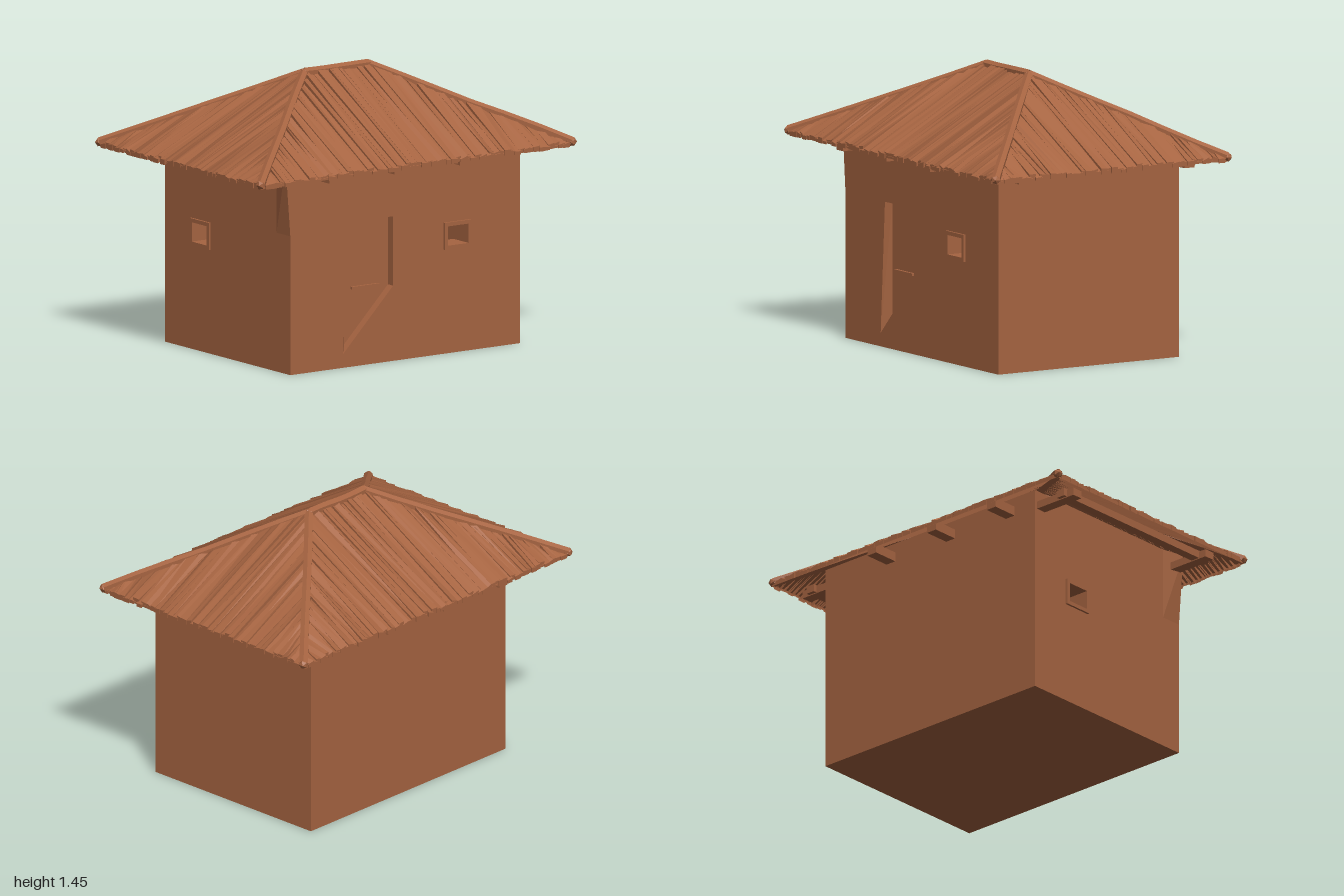
import * as THREE from 'three';

const clay = new THREE.MeshStandardMaterial({ color: 0xa66441, flatShading: true, side: THREE.DoubleSide });
clay.name = 'clay brown';

// Roof dimensions: eave half sizes, ridge half length, eave and ridge heights
const EX = 0.98, EZ = 0.705, RX = 0.2, Y0 = 1.035, Y1 = 1.425;

let seed = 7;
const rand = (a = 0, b = 1) => {
  seed = (seed * 16807) % 2147483647;
  return a + (b - a) * seed / 2147483647;
};

function add(parent, name, geometry, x = 0, y = 0, z = 0) {
  const mesh = new THREE.Mesh(geometry, clay);
  mesh.name = name;
  mesh.position.set(x, y, z);
  parent.add(mesh);
  return mesh;
}

function box(parent, name, x0, x1, y0, y1, z0, z1) {
  return add(parent, name, new THREE.BoxGeometry(x1 - x0, y1 - y0, z1 - z0),
    (x0 + x1) / 2, (y0 + y1) / 2, (z0 + z1) / 2);
}

const outline = pts => pts.map(p => new THREE.Vector2(...p));
const rect = (x0, x1, y0, y1) => [[x0, y0], [x1, y0], [x1, y1], [x0, y1]];

function slab(pts, holes, depth) {
  const shape = new THREE.Shape(outline(pts));
  for (const h of holes) shape.holes.push(new THREE.Path(outline(h)));
  return new THREE.ExtrudeGeometry(shape, { depth, bevelEnabled: false });
}

function quads(list) {
  const pos = [];
  for (const [a, b, c, d] of list) for (const p of [a, b, c, a, c, d]) pos.push(...p);
  const g = new THREE.BufferGeometry();
  g.setAttribute('position', new THREE.Float32BufferAttribute(pos, 3));
  g.computeVertexNormals();
  return g;
}

// One slope of the roof: a base sheet covered with uneven thatch strips
function roofSlope(parent, name, isSide, sign, count) {
  const half = isSide ? EZ : EX;
  const at = (u, t, lift) => {
    const y = Y0 + (Y1 - Y0) * t + lift;
    return isSide ? [sign * (EX - (EX - RX) * t), y, u] : [u, y, sign * EZ * (1 - t)];
  };
  const limit = u => isSide ? 1 - Math.abs(u) / EZ : Math.min(1, (EX - Math.abs(u)) / (EX - RX));
  const top = isSide ? 0 : RX;
  const faces = [[at(-half, 0, 0), at(half, 0, 0), at(top, 1, 0), at(-top, 1, 0)]];
  const step = 2 * half / count;
  for (let i = 0; i < count; i++) {
    const b0 = -half + i * step, b1 = b0 + step;
    const u0 = Math.max(-half, b0 - rand(0, 0.008)), u1 = Math.min(half, b1 + rand(0, 0.008));
    // The upper ends drift sideways so the strips look irregular
    const v0 = THREE.MathUtils.clamp(b0 + rand(-0.012, 0.012), -half, half);
    const v1 = THREE.MathUtils.clamp(b1 + rand(-0.012, 0.012), -half, half);
    const e = rand(-0.012, 0.004);
    const l = [0, 1, 2, 3].map(() => rand(0.002, 0.02));
    const A = at(u0, e, l[0]), B = at(u1, e, l[1]);
    const C = at(v1, limit(v1), l[2]), D = at(v0, limit(v0), l[3]);
    const a = at(u0, e, -0.012), b = at(u1, e, -0.012);
    const c = at(v1, limit(v1), 0), d = at(v0, limit(v0), 0);
    faces.push([A, B, C, D], [a, b, B, A], [b, c, C, B], [d, a, A, D]);
  }
  add(parent, name, quads(faces));
}

// A slightly crooked pole laid along a hip or the ridge
function pole(parent, name, from, to, radius) {
  const a = new THREE.Vector3(...from), b = new THREE.Vector3(...to);
  const pts = [0, 0.25, 0.5, 0.75, 1].map((t, i) => {
    const p = a.clone().lerp(b, t);
    if (i % 4) p.add(new THREE.Vector3(rand(-0.006, 0.006), rand(-0.004, 0.002), rand(-0.006, 0.006)));
    return p;
  });
  add(parent, name, new THREE.TubeGeometry(new THREE.CatmullRomCurve3(pts), 6, radius, 6));
  for (const end of [a, b]) {
    add(parent, name + 'End', new THREE.IcosahedronGeometry(radius, 0), end.x, end.y, end.z);
  }
}

export function createModel() {
  const model = new THREE.Group();
  model.name = 'clayHut';

  // Walls
  const walls = new THREE.Group();
  walls.name = 'walls';
  model.add(walls);
  const L = -0.68, R = 0.76, D = 0.545, T = 1.1, W = 0.12;
  box(walls, 'floor', L, R, 0, 0.04, -D, D);
  box(walls, 'backWall', L, R, 0, T, -D, -D + W);
  box(walls, 'leftWall', R - W, R, 0, T, -D, D - 0.01);

  const doorway = [[-0.35, 0.07], [-0.035, 0.39], [-0.035, 0.75], [-0.31, 0.75]];
  const front = slab([[L, 0], [R, 0], [R, T], [L, T], [L, 0.72]],
    [doorway, rect(0.3, 0.43, 0.56, 0.66)], W);
  // The upper front corner leans outwards
  const p = front.attributes.position;
  for (let i = 0; i < p.count; i++) {
    if (p.getX(i) < -0.6 && p.getY(i) > 1 && p.getZ(i) > 0.1) p.setX(i, -0.71);
  }
  front.computeVertexNormals();
  add(walls, 'frontWall', front, 0, 0, D - W);

  const right = add(walls, 'rightWall',
    slab(rect(-D, D - W + 0.01, 0, T), [rect(-0.295, -0.165, 0.56, 0.66)], W), L + W, 0, 0);
  right.rotation.y = -Math.PI / 2;

  // Window frames
  const frame = () => slab(rect(-0.083, 0.083, -0.07, 0.07), [rect(-0.065, 0.065, -0.05, 0.05)], 0.03);
  add(model, 'frontWindowFrame', frame(), 0.365, 0.61, D - 0.018);
  add(model, 'sideWindowFrame', frame(), L + 0.018, 0.61, -0.23).rotation.y = -Math.PI / 2;

  // Recessed door, its slanted jamb and a small ledge
  box(model, 'doorPanel', -0.38, -0.01, 0.05, 0.78, 0.44, 0.5);
  add(model, 'doorJamb', quads([[[-0.35, 0.07, D], [-0.31, 0.11, 0.5], [-0.31, 0.75, 0.5], [-0.31, 0.75, D]]]));
  box(model, 'doorLedge', -0.27, -0.1, 0.392, 0.405, 0.49, 0.515);

  // Beams under the eaves
  for (const x of [-0.51, -0.1, 0.31]) box(model, 'crossBeam', x - 0.03, x + 0.03, 1.0, 1.05, -0.69, 0.69);
  for (const s of [-1, 1]) {
    box(model, 'longBeam', -0.93, 0.93, 1.0, 1.04, s * 0.5 - 0.03, s * 0.5 + 0.03);
    box(model, 'sideBeam', s * 0.86 - 0.025, s * 0.86 + 0.025, 1.005, 1.045, -0.55, 0.55);
  }

  // Roof
  const roof = new THREE.Group();
  roof.name = 'roof';
  model.add(roof);
  roofSlope(roof, 'frontSlope', false, 1, 64);
  roofSlope(roof, 'backSlope', false, -1, 64);
  roofSlope(roof, 'leftSlope', true, 1, 46);
  roofSlope(roof, 'rightSlope', true, -1, 46);
  for (const sx of [-1, 1]) for (const sz of [-1, 1]) {
    pole(roof, 'hipPole', [sx * RX, Y1, 0], [sx * 0.977, Y0 + 0.01, sz * 0.7], 0.025);
  }
  pole(roof, 'ridgePole', [-RX, Y1, 0], [RX, Y1, 0], 0.027);

  return model;
}
